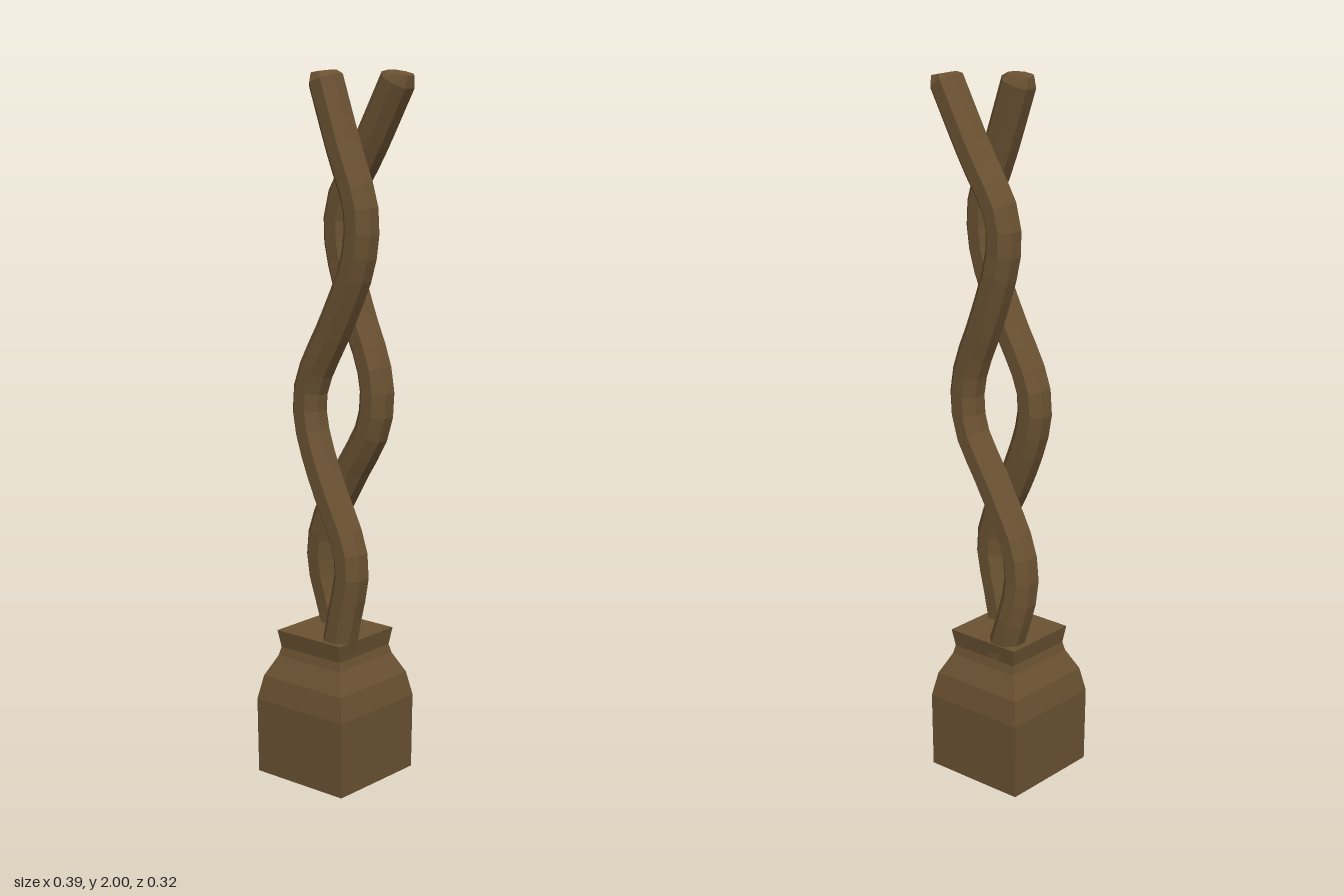
import * as THREE from 'three';

const wood = new THREE.MeshStandardMaterial({ color: 0x6b5232, flatShading: true });

// Eight-sided strand swept up a curve, with a bevelled flat tip
function strand(name, points, sides = 8, radius = 0.05, steps = 28) {
  const curve = new THREE.CatmullRomCurve3(points.map(p => new THREE.Vector3(...p)));
  const pos = [], index = [];
  const ring = (p, n, r) => {
    for (let j = 0; j < sides; j++) {
      const a = (j + 0.5) / sides * Math.PI * 2;
      pos.push(p.x + n.x * Math.cos(a) * r, p.y + n.y * Math.cos(a) * r, p.z + Math.sin(a) * r);
    }
  };
  for (let i = 0; i <= steps; i++) {
    const t = curve.getTangentAt(i / steps);
    ring(curve.getPointAt(i / steps), new THREE.Vector3(t.y, -t.x, 0).normalize(), radius);
  }
  // tip: smaller, almost level ring
  const end = curve.getPointAt(1), tangent = curve.getTangentAt(1);
  const tip = end.clone().addScaledVector(tangent, 0.022);
  ring(tip, new THREE.Vector3(tangent.y, -tangent.x * 0.4, 0).normalize(), 0.037);
  const centre = pos.length / 3;
  pos.push(tip.x, tip.y, tip.z);
  for (let j = 0; j < sides; j++) {
    const k = (j + 1) % sides;
    for (let i = 0; i <= steps; i++) {
      const a = i * sides + j, b = i * sides + k, c = a + sides, d = b + sides;
      index.push(a, c, b, b, c, d);
    }
    index.push(centre, (steps + 1) * sides + k, (steps + 1) * sides + j);
  }
  const geometry = new THREE.BufferGeometry();
  geometry.setAttribute('position', new THREE.Float32BufferAttribute(pos, 3));
  geometry.setIndex(index);
  geometry.computeVertexNormals();
  const mesh = new THREE.Mesh(geometry, wood);
  mesh.name = name;
  return mesh;
}

export function createModel() {
  const group = new THREE.Group();
  group.name = 'twistedPost';

  // Square base: half-width and height of each level, closed top and bottom
  const profile = [[0, 0], [0.157, 0], [0.159, 0.22], [0.145, 0.29], [0.115, 0.35],
    [0.109, 0.375], [0.117, 0.425], [0, 0.425]]
    .map(([half, y]) => new THREE.Vector2(half * Math.SQRT2, y));
  const baseGeometry = new THREE.LatheGeometry(profile, 4, Math.PI / 4).toNonIndexed();
  baseGeometry.computeVertexNormals();
  const base = new THREE.Mesh(baseGeometry, wood);
  base.name = 'base';
  base.position.set(-0.037, 0, 0);
  group.add(base);

  // Two strands weaving past each other
  group.add(strand('backStrand', [
    [-0.07, 0.38, -0.066], [-0.105, 0.48, -0.066], [-0.128, 0.6, -0.055], [-0.115, 0.7, -0.052],
    [-0.02, 0.88, -0.05], [0.06, 1.02, -0.05], [0.074, 1.12, -0.05], [0.06, 1.2, -0.049],
    [0.012, 1.32, -0.048], [-0.042, 1.48, -0.047], [-0.055, 1.56, -0.046], [-0.045, 1.64, -0.046],
    [0.045, 1.79, -0.046], [0.145, 1.972, -0.046]]));
  group.add(strand('frontStrand', [
    [0.025, 0.38, 0.06], [0.05, 0.5, 0.06], [0.075, 0.62, 0.06], [0.065, 0.7, 0.06],
    [-0.02, 0.88, 0.06], [-0.07, 1.02, 0.06], [-0.078, 1.1, 0.06], [-0.06, 1.17, 0.06],
    [0.018, 1.32, 0.058], [0.09, 1.48, 0.058], [0.107, 1.58, 0.058], [0.1, 1.65, 0.058],
    [0.045, 1.79, 0.057], [-0.02, 1.973, 0.056]]));

  // Slight turn of the whole post
  group.rotation.y = -0.02;
  return group;
}
